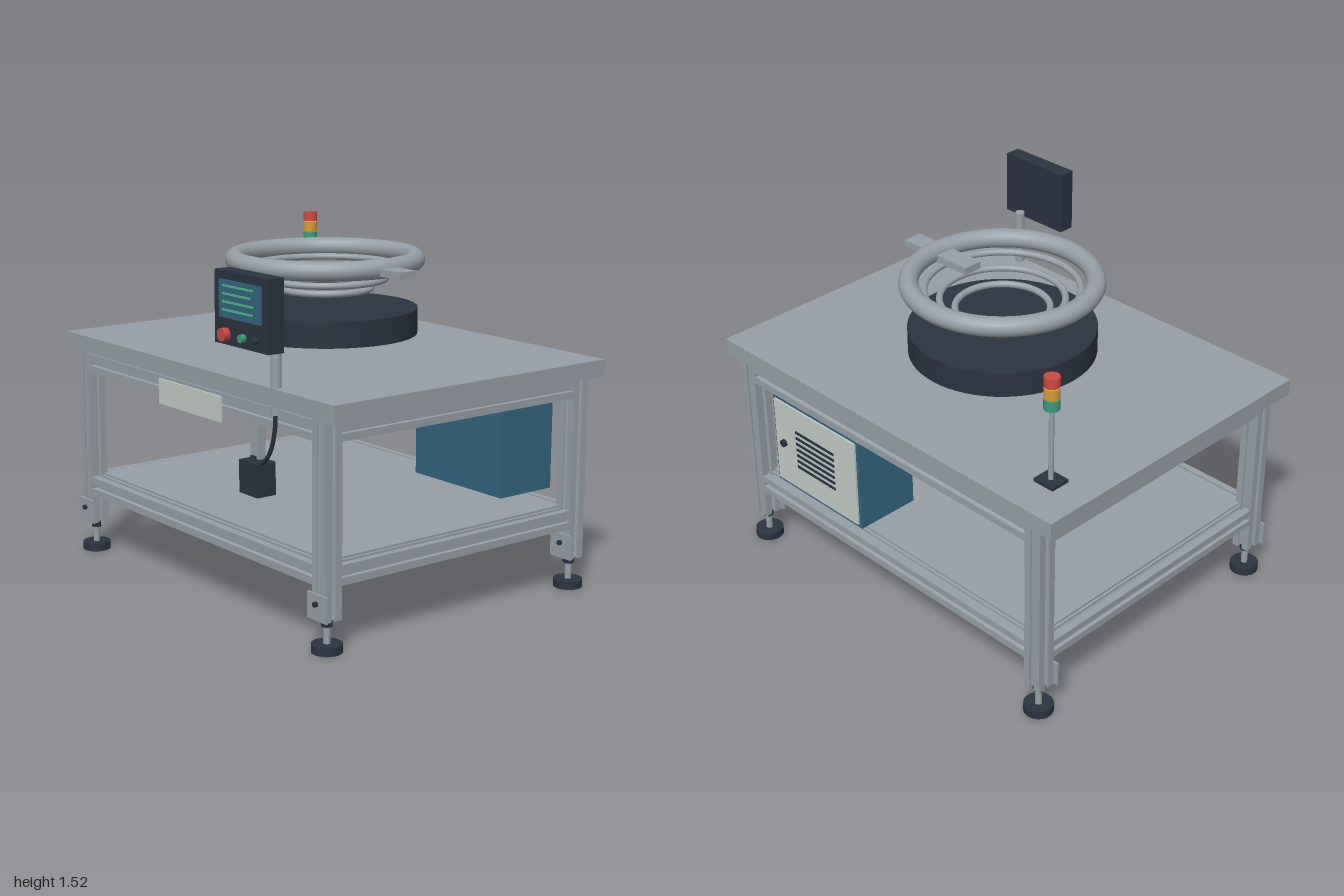
import * as THREE from 'three';

const mat = (name, color) => {
  const m = new THREE.MeshStandardMaterial({ color });
  m.name = name;
  return m;
};

export function createModel() {
  const metal = mat('brushed metal', 0x969ea6);
  const dark = mat('dark slate', 0x2b3340);
  const blue = mat('cabinet blue', 0x34647f);
  const pale = mat('pale panel', 0xc2cac4);
  const red = mat('red', 0xcc4a42);
  const amber = mat('amber', 0xd69c38);
  const green = mat('green', 0x3f9a7c);
  const lime = mat('display green', 0x4fb88a);

  const model = new THREE.Group();
  const CZ = -0.087;            // middle of the frame in z
  const LX = 0.883, LZ = 0.68;  // leg offsets from the middle

  const add = (name, geo, material, x = 0, y = 0, z = 0, parent = model) => {
    const m = new THREE.Mesh(geo, material);
    m.name = name;
    m.position.set(x, y, z);
    parent.add(m);
    return m;
  };
  // box given by its low and high limits
  const box = (name, material, x0, x1, y0, y1, z0, z1, parent) =>
    add(name, new THREE.BoxGeometry(x1 - x0, y1 - y0, z1 - z0), material,
      (x0 + x1) / 2, (y0 + y1) / 2, (z0 + z1) / 2, parent);
  // upright cylinder between two heights
  const post = (name, material, r, x, y0, y1, z, sides = 32, parent) =>
    add(name, new THREE.CylinderGeometry(r, r, y1 - y0, sides), material, x, (y0 + y1) / 2, z, parent);
  // cylinder lying along z
  const button = (name, material, r, x, y, z0, z1, parent) => {
    const m = add(name, new THREE.CylinderGeometry(r, r, z1 - z0, 24), material, x, y, (z0 + z1) / 2, parent);
    m.rotation.x = Math.PI / 2;
    return m;
  };

  // slotted square extrusion, centred, running along z
  const slotBar = (length) => {
    const h = 0.0425;
    const side = [[-h, -h], [-0.011, -h], [-0.011, -h + 0.009], [-0.02, -h + 0.009], [-0.012, -h + 0.024],
      [0.012, -h + 0.024], [0.02, -h + 0.009], [0.011, -h + 0.009], [0.011, -h]];
    const pts = [];
    for (let i = 0; i < 4; i++) {
      const c = Math.round(Math.cos(i * Math.PI / 2)), s = Math.round(Math.sin(i * Math.PI / 2));
      for (const [x, y] of side) pts.push(new THREE.Vector2(x * c - y * s, x * s + y * c));
    }
    const g = new THREE.ExtrudeGeometry(new THREE.Shape(pts), { depth: length, bevelEnabled: false });
    return g.translate(0, 0, -length / 2);
  };

  // table top and lower shelf
  box('tableTop', metal, -1, 1, 0.96, 1.035, -0.83, 0.655);
  box('lowerShelf', metal, -0.86, 0.86, 0.362, 0.372, CZ - 0.655, CZ + 0.655);

  // legs with levelling feet
  const legGeo = slotBar(0.825).rotateX(Math.PI / 2);
  for (const sx of [-1, 1]) for (const sz of [-1, 1]) {
    const x = sx * LX, z = CZ + sz * LZ;
    add('leg', legGeo, metal, x, 0.5475, z);
    const foot = new THREE.Group();
    foot.name = 'levellingFoot';
    model.add(foot);
    post('footPad', dark, 0.064, x, 0, 0.036, z, 32, foot);
    post('footStem', metal, 0.015, x, 0.036, 0.16, z, 16, foot);
    post('footNut', dark, 0.025, x, 0.108, 0.128, z, 6, foot);
    box('footBracket', metal, x - 0.0625, x + 0.0625, 0.14, 0.25, z + 0.0425, z + 0.053, foot);
    button('bracketBolt', dark, 0.011, x, 0.21, z + 0.05, z + 0.067, foot);
  }

  // upper and lower rails
  const railX = slotBar(2 * LX - 0.085).rotateY(Math.PI / 2);
  const railZ = slotBar(2 * LZ - 0.085);
  for (const y of [0.32, 0.907]) for (const s of [-1, 1]) {
    add('longRail', railX, metal, 0, y, CZ + s * LZ);
    add('sideRail', railZ, metal, s * LX, y, CZ);
  }

  // feeder bowl: drum, rising rings and rim
  const bowl = new THREE.Group();
  bowl.name = 'feederBowl';
  model.add(bowl);
  post('drum', dark, 0.412, 0, 1.095, 1.21, CZ, 64, bowl);
  for (const [name, r, tube, y] of [['lowerRing', 0.205, 0.015, 1.295], ['middleRing', 0.27, 0.015, 1.34],
    ['upperRing', 0.335, 0.015, 1.385], ['rim', 0.4, 0.043, 1.423]]) {
    add(name, new THREE.TorusGeometry(r, tube, 20, 72).rotateX(Math.PI / 2), metal, 0, y, CZ, bowl);
  }
  box('outletChute', metal, 0.18, 0.565, 1.398, 1.43, CZ - 0.046, CZ + 0.046, bowl);

  // signal tower
  const tower = new THREE.Group();
  tower.name = 'signalTower';
  model.add(tower);
  const tx = -0.802, tz = -0.623;
  box('towerBase', dark, tx - 0.052, tx + 0.052, 1.035, 1.05, tz - 0.045, tz + 0.045, tower);
  post('towerPole', metal, 0.011, tx, 1.05, 1.38, tz, 20, tower);
  post('greenLamp', green, 0.033, tx, 1.375, 1.421, tz, 28, tower);
  post('amberLamp', amber, 0.033, tx, 1.426, 1.471, tz, 28, tower);
  post('redLamp', red, 0.033, tx, 1.477, 1.52, tz, 28, tower);

  // operator panel on its pole
  const panel = new THREE.Group();
  panel.name = 'operatorPanel';
  model.add(panel);
  post('panelPole', metal, 0.022, 0.6, 0.92, 1.29, 0.63, 28, panel);
  box('panelCase', dark, 0.42, 0.778, 1.213, 1.506, 0.722, 0.797, panel);
  box('screen', blue, 0.46, 0.738, 1.322, 1.472, 0.797, 0.805, panel);
  [0.69, 0.675, 0.69, 0.69].forEach((x1, i) => {
    const y = 1.45 - i * 0.032;
    box('displayLine', lime, 0.488, x1, y - 0.004, y + 0.004, 0.804, 0.809, panel);
  });
  button('stopButton', red, 0.027, 0.5, 1.255, 0.797, 0.825, panel);
  button('startButton', green, 0.017, 0.617, 1.255, 0.797, 0.818, panel);
  button('selector', dark, 0.015, 0.697, 1.255, 0.797, 0.818, panel);

  // electrical cabinet with rear door
  const cabinet = new THREE.Group();
  cabinet.name = 'electricalCabinet';
  model.add(cabinet);
  box('cabinetBody', blue, 0.155, 0.722, 0.41, 0.862, -0.803, -0.5, cabinet);
  box('cabinetDoor', pale, 0.17, 0.707, 0.428, 0.846, -0.812, -0.803, cabinet);
  for (let i = 0; i < 7; i++) {
    const y = 0.55 + i * 0.03;
    box('ventSlot', dark, 0.31, 0.565, y - 0.006, y + 0.006, -0.816, -0.811, cabinet);
  }
  button('doorKnob', dark, 0.017, 0.65, 0.637, -0.827, -0.811, cabinet);

  // front plate under the table edge
  box('frontPlate', pale, -0.235, 0.232, 0.825, 0.936, 0.637, 0.646);

  // hanging control box, bracket and cable
  box('controlBox', dark, 0.395, 0.521, 0.566, 0.706, 0.575, 0.668);
  box('boxBracket', metal, 0.43, 0.486, 0.715, 0.866, 0.6, 0.635);
  post('boxGland', dark, 0.014, 0.457, 0.706, 0.728, 0.64, 20);
  const path = new THREE.CatmullRomCurve3([[0.612, 0.925, 0.642], [0.607, 0.86, 0.643], [0.58, 0.775, 0.643],
    [0.535, 0.72, 0.64], [0.5, 0.7, 0.635]].map((p) => new THREE.Vector3(...p)));
  add('cable', new THREE.TubeGeometry(path, 32, 0.009, 10), dark);

  return model;
}
